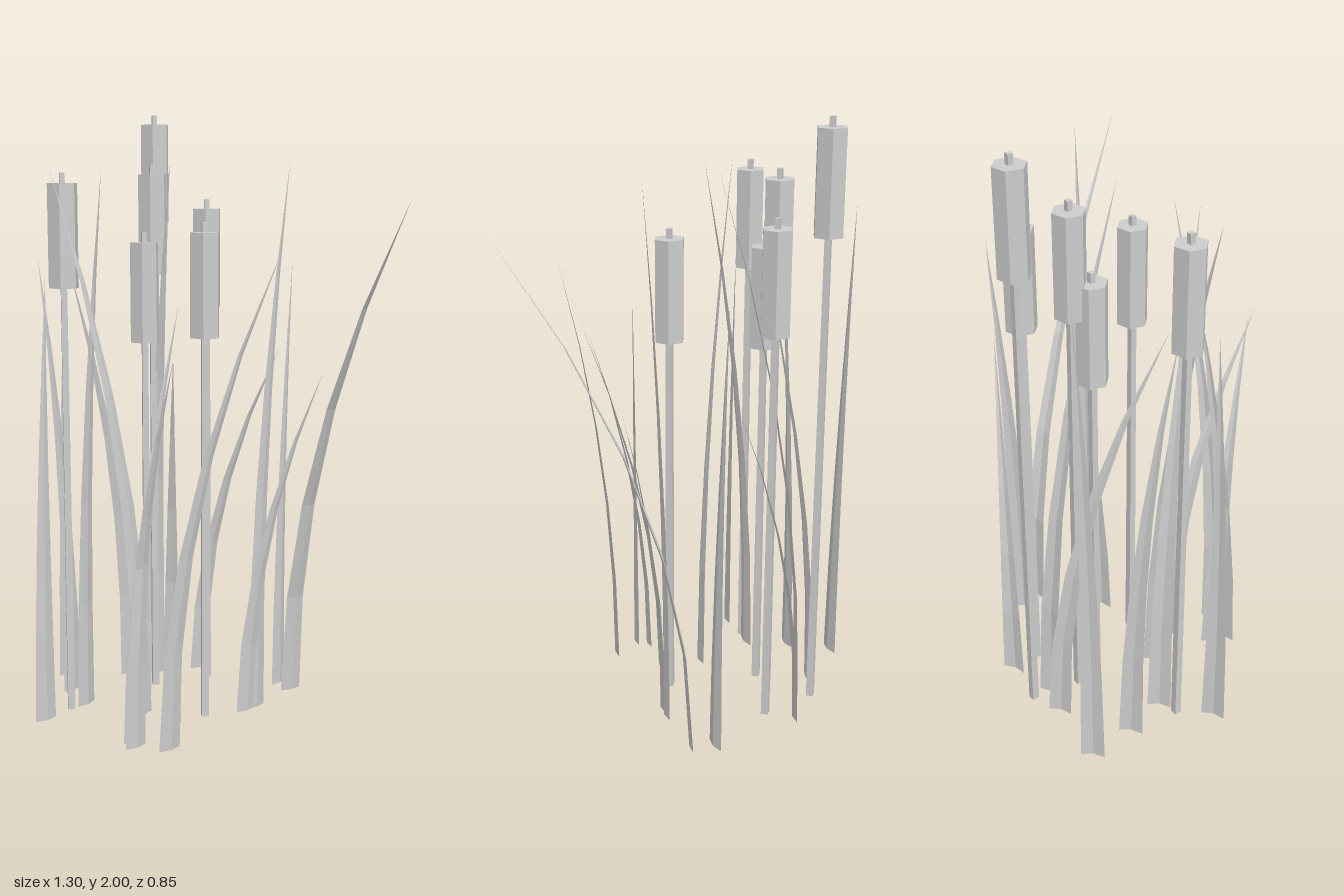
import * as THREE from 'three';

const grey = new THREE.MeshStandardMaterial({ color: 0xcccccc, flatShading: true, side: THREE.DoubleSide });
grey.name = 'plain grey';

// Cattails: x, z, overall height
const CATTAILS = [
  [-0.41, -0.24, 2.0], [-0.41, 0.25, 1.8], [-0.315, -0.1, 1.83],
  [-0.21, -0.27, 1.715], [0.0, 0.04, 1.645], [-0.305, -0.04, 1.605],
];

// Leaf blades: base x, base z, tip x, tip y, tip z, sideways tilt of the base
const BLADES = [
  [-0.29, -0.335, 0.0, 1.2, -0.41, 0.35],
  [0.035, -0.365, 0.04, 1.51, -0.43, 0.0],
  [0.105, -0.335, 0.65, 1.72, -0.11, 0.4],
  [0.085, -0.08, 0.29, 1.16, -0.22, 0.3],
  [0.095, -0.125, 0.19, 1.84, -0.165, 0.2],
  [-0.645, 0.0, -0.65, 1.68, -0.04, 0.05],
  [-0.525, 0.11, -0.535, 1.53, 0.235, 0.1],
  [-0.465, -0.14, -0.43, 1.5, 0.2, 0.2],
  [-0.385, -0.19, -0.155, 1.84, 0.015, 0.45],
  [-0.395, 0.19, -0.24, 1.81, 0.26, 0.05],
  [-0.18, 0.15, -0.39, 1.82, 0.335, 0.2],
  [-0.415, 0.375, -0.41, 1.48, 0.34, 0.25],
  [0.07, 0.335, 0.345, 1.565, 0.13, 0.3],
  [-0.035, 0.18, 0.155, 1.27, 0.42, 0.2],
  [-0.065, 0.345, 0.14, 1.25, 0.4, 0.25],
  [-0.03, 0.38, 0.04, 1.4, 0.235, 0.25],
];

function prism(name, rTop, rBottom, y0, y1, sides, start) {
  const geo = new THREE.CylinderGeometry(rTop, rBottom, y1 - y0, sides, 1, false, start);
  const mesh = new THREE.Mesh(geo, grey);
  mesh.name = name;
  mesh.position.y = (y0 + y1) / 2;
  return mesh;
}

// Stalk, six-sided seed head and a short spike on top
function cattail([x, z, top]) {
  const g = new THREE.Group();
  g.name = 'cattail';
  g.add(prism('stalk', 0.014, 0.017, 0, top - 0.36, 4, 0));
  g.add(prism('seedHead', 0.051, 0.051, top - 0.367, top - 0.032, 6, Math.PI / 6));
  g.add(prism('spike', 0.012, 0.012, top - 0.04, top, 4, 0));
  g.position.set(x, 0, z);
  return g;
}

// Folded leaf that tapers to a point and bends over quadratically
function blade([bx, bz, tx, ty, tz, tilt]) {
  const segments = 5, half = 0.04, fold = 0.01;
  const pos = [], index = [];
  for (let i = 0; i <= segments; i++) {
    const t = i / segments;
    const w = 1 - Math.pow(t, 1.2);
    const cx = bx + (tx - bx) * t * t;
    const cz = bz + (tz - bz) * t * t;
    for (const s of [-1, 0, 1]) {
      const out = s * half * w;
      const bulge = (s === 0 ? fold : 0) * w;
      pos.push(
        cx - Math.sin(tilt) * out + Math.cos(tilt) * bulge,
        ty * t,
        cz + Math.cos(tilt) * out + Math.sin(tilt) * bulge,
      );
    }
    if (i === segments) continue;
    for (let k = 0; k < 2; k++) {
      const a = i * 3 + k;
      index.push(a, a + 3, a + 1);
      if (i < segments - 1) index.push(a + 1, a + 3, a + 4);
    }
  }
  const geo = new THREE.BufferGeometry();
  geo.setAttribute('position', new THREE.Float32BufferAttribute(pos, 3));
  geo.setIndex(index);
  geo.computeVertexNormals();
  const mesh = new THREE.Mesh(geo, grey);
  mesh.name = 'leafBlade';
  return mesh;
}

export function createModel() {
  const model = new THREE.Group();
  model.name = 'cattailReeds';
  CATTAILS.forEach((c) => model.add(cattail(c)));
  BLADES.forEach((b) => model.add(blade(b)));
  return model;
}
